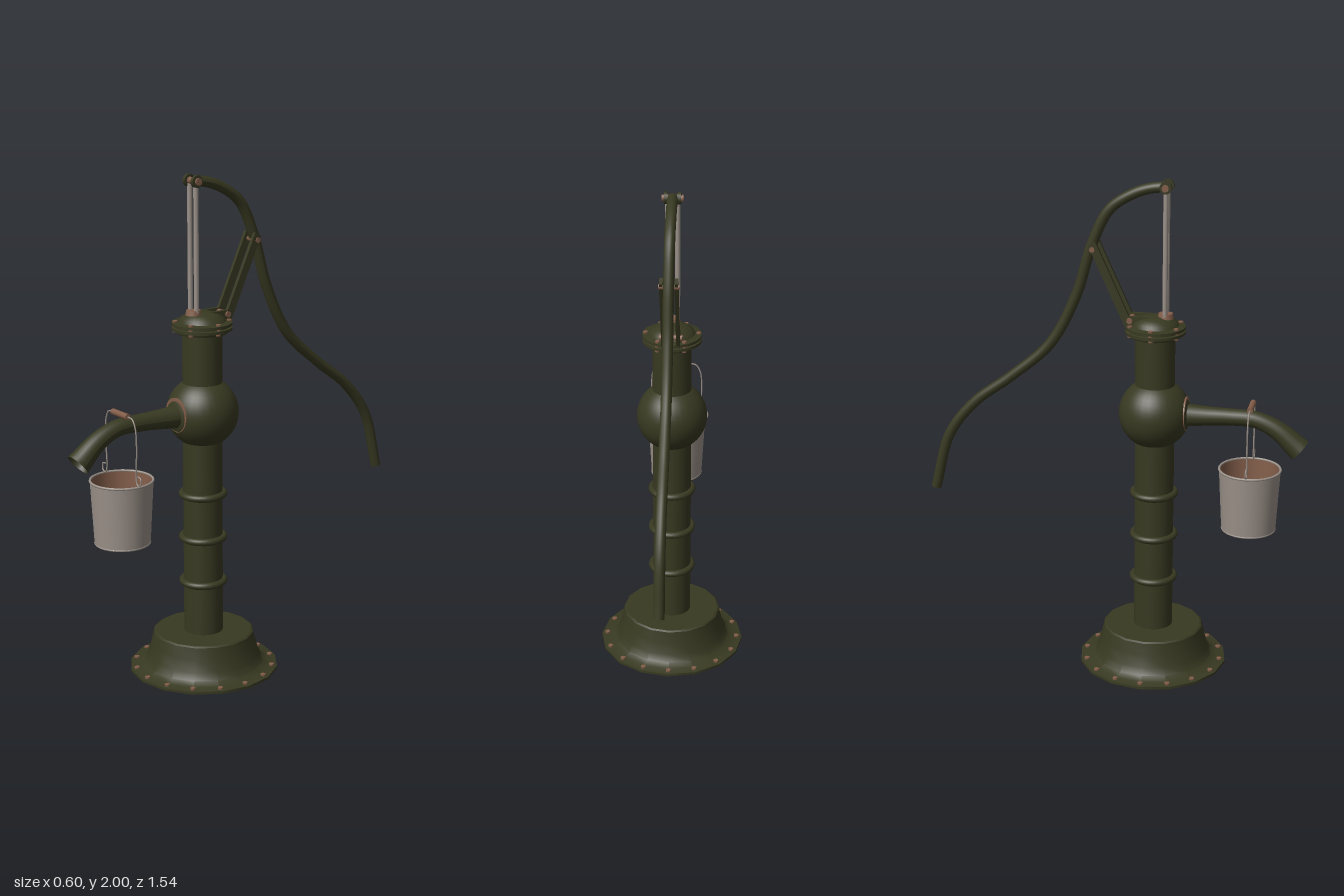
import * as THREE from 'three';
import { toCreasedNormals } from 'three/addons/utils/BufferGeometryUtils.js';

const mat = (name, color) => {
  const m = new THREE.MeshStandardMaterial({ color, side: THREE.DoubleSide });
  m.name = name;
  return m;
};
const V = (x, y, z) => new THREE.Vector3(x, y, z);

export function createModel() {
  const green = mat('dark green paint', 0x383921);
  const rust = mat('rust', 0x825d49);
  const steel = mat('dull steel', 0x9a9088);
  const root = new THREE.Group();
  root.name = 'handPump';
  const AXIS = 0.16; // z of the pump column

  const add = (name, geo, material, x = 0, y = 0, z = 0, parent = root) => {
    const mesh = new THREE.Mesh(geo, material);
    mesh.name = name;
    mesh.position.set(x, y, z);
    parent.add(mesh);
    return mesh;
  };
  const lathe = (pts, seg = 32) => toCreasedNormals(
    new THREE.LatheGeometry(pts.map(p => new THREE.Vector2(...p)), seg), 0.6);
  // cylinder running between two points
  const rod = (name, a, b, r, material, seg = 12) => {
    const m = add(name, new THREE.CylinderGeometry(r, r, a.distanceTo(b), seg), material);
    m.position.copy(a).lerp(b, 0.5);
    m.quaternion.setFromUnitVectors(V(0, 1, 0), b.clone().sub(a).normalize());
    return m;
  };
  // tube whose radius follows a function of its length
  const taperedTube = (pts, seg, radial, radius) => {
    const curve = new THREE.CatmullRomCurve3(pts);
    const geo = new THREE.TubeGeometry(curve, seg, 1, radial, false);
    const p = geo.attributes.position;
    for (let i = 0; i <= seg; i++) {
      const c = curve.getPointAt(i / seg);
      for (let j = 0; j <= radial; j++) {
        const k = i * (radial + 1) + j;
        const v = V(0, 0, 0).fromBufferAttribute(p, k).sub(c).multiplyScalar(radius(i / seg)).add(c);
        p.setXYZ(k, v.x, v.y, v.z);
      }
    }
    geo.computeVertexNormals();
    return geo;
  };

  // Flared hollow base with its bolted rim
  add('base', lathe([[0.27, 0.002], [0.3, 0.002], [0.3, 0.012], [0.265, 0.016], [0.24, 0.03], [0.225, 0.06],
    [0.212, 0.11], [0.202, 0.155], [0.195, 0.16], [0.07, 0.16]], 16), green, 0, 0, AXIS);
  for (let i = 0; i < 16; i++) {
    const a = (i / 16) * Math.PI * 2;
    add('baseBolt', new THREE.CylinderGeometry(0.011, 0.011, 0.018, 6), rust,
      Math.sin(a) * 0.277, 0.012, AXIS + Math.cos(a) * 0.277);
  }

  // Column, joint rings and round pump chamber
  add('column', new THREE.CylinderGeometry(0.078, 0.078, 1.26, 32, 1, true), green, 0, 0.78, AXIS);
  for (const y of [0.37, 0.555, 0.735]) {
    add('columnRing', new THREE.TorusGeometry(0.083, 0.014, 10, 32).rotateX(Math.PI / 2), green, 0, y, AXIS);
  }
  add('chamber', new THREE.SphereGeometry(0.142, 32, 24), green, 0, 1.07, AXIS);

  // Flanged cap on the column
  add('cap', lathe([[0.075, 1.385], [0.1, 1.387], [0.104, 1.397], [0.118, 1.399], [0.118, 1.41], [0.108, 1.412],
    [0.108, 1.416], [0.118, 1.418], [0.118, 1.428], [0.092, 1.432], [0.085, 1.445], [0.06, 1.46], [0.035, 1.468], [0, 1.468]]),
    green, 0, 0, AXIS);
  for (let i = 0; i < 6; i++) {
    const a = (i / 6) * Math.PI * 2 + Math.PI / 6;
    add('capBolt', new THREE.CylinderGeometry(0.01, 0.01, 0.045, 6), rust,
      Math.sin(a) * 0.105, 1.413, AXIS + Math.cos(a) * 0.105);
  }
  add('rodSeal', new THREE.CylinderGeometry(0.028, 0.032, 0.02, 16), rust, 0, 1.47, 0.2);

  // Spout, open at its mouth
  add('spoutCollar', new THREE.CylinderGeometry(0.068, 0.068, 0.008, 24).rotateX(Math.PI / 2), rust, 0, 1.075, 0.284);
  add('spout', taperedTube([V(0, 1.07, 0.22), V(0, 1.071, 0.34), V(0, 1.074, 0.46), V(0, 1.07, 0.56),
    V(0, 1.034, 0.645), V(0, 0.957, 0.737)], 28, 20,
    t => 0.036 + 0.018 * (2 * t - 1) ** 2 - 0.006 * t), green);

  // Curved pump handle
  const handlePts = [[0.2, 1.975], [0.14, 1.967], [0.075, 1.945], [-0.02, 1.88], [-0.09, 1.74], [-0.155, 1.53], [-0.26, 1.33],
    [-0.42, 1.185], [-0.575, 1.065], [-0.685, 0.92], [-0.75, 0.685]].map(([z, y]) => V(0, y, z));
  add('handle', taperedTube(handlePts, 72, 12, () => 0.021), green);
  rod('handleEnd', V(0, 0.684, -0.75), V(0, 0.688, -0.749), 0.021, green);

  // Twin lift rods, fulcrum arms and their pins
  for (const s of [-1, 1]) {
    rod('liftRod', V(s * 0.02, 1.44, 0.2), V(s * 0.02, 1.975, 0.2), 0.01, steel);
    add('liftRodEye', new THREE.CylinderGeometry(0.024, 0.024, 0.014, 16).rotateZ(Math.PI / 2), green,
      s * 0.026, 1.975, 0.2);
    const arm = add('fulcrumArm', new THREE.BoxGeometry(0.014, 0.36, 0.032), green, s * 0.029, 1.585, -0.01);
    arm.rotation.x = -0.43;
    add('fulcrumFoot', new THREE.BoxGeometry(0.016, 0.035, 0.1), green, s * 0.029, 1.45, 0.095);
  }
  const pin = (name, y, z, w, r) => rod(name, V(-w, y, z), V(w, y, z), r, rust, 8);
  pin('topPin', 1.975, 0.2, 0.042, 0.014);
  pin('fulcrumPin', 1.725, -0.083, 0.04, 0.011);
  pin('footPin', 1.452, 0.065, 0.045, 0.012);

  // Bucket hanging on the spout
  const bucket = new THREE.Group();
  bucket.name = 'bucket';
  bucket.position.z = 0.543;
  root.add(bucket);
  add('bucketWall', new THREE.CylinderGeometry(0.122, 0.108, 0.253, 32, 1, true), steel, 0, 0.735, 0, bucket);
  add('bucketLining', new THREE.CylinderGeometry(0.117, 0.103, 0.248, 32, 1, true), rust, 0, 0.737, 0, bucket);
  add('bucketFloor', new THREE.CylinderGeometry(0.106, 0.106, 0.006, 32), rust, 0, 0.617, 0, bucket);
  add('bucketRim', new THREE.TorusGeometry(0.121, 0.005, 8, 32).rotateX(Math.PI / 2), steel, 0, 0.862, 0, bucket);
  add('bucketFoot', new THREE.TorusGeometry(0.106, 0.004, 8, 32).rotateX(Math.PI / 2), steel, 0, 0.612, 0, bucket);

  // Wire bail with hooked ends and a grip
  const bail = [];
  for (const s of [-1, 1]) {
    const side = [[0.05, 1.122], [0.08, 1.118], [0.1, 1.085], [0.106, 1.0], [0.1, 0.9], [0.108, 0.868], [0.13, 0.872],
      [0.13, 0.898], [0.112, 0.902]].map(([x, y]) => V(s * x, y, 0));
    bail.push(new THREE.CatmullRomCurve3(side));
  }
  bail.forEach(c => add('bailWire', new THREE.TubeGeometry(c, 40, 0.0032, 6), steel, 0, 0, 0, bucket));
  add('bailGrip', new THREE.CylinderGeometry(0.012, 0.012, 0.104, 12).rotateZ(Math.PI / 2), rust, 0, 1.122, 0, bucket);

  return root;
}
